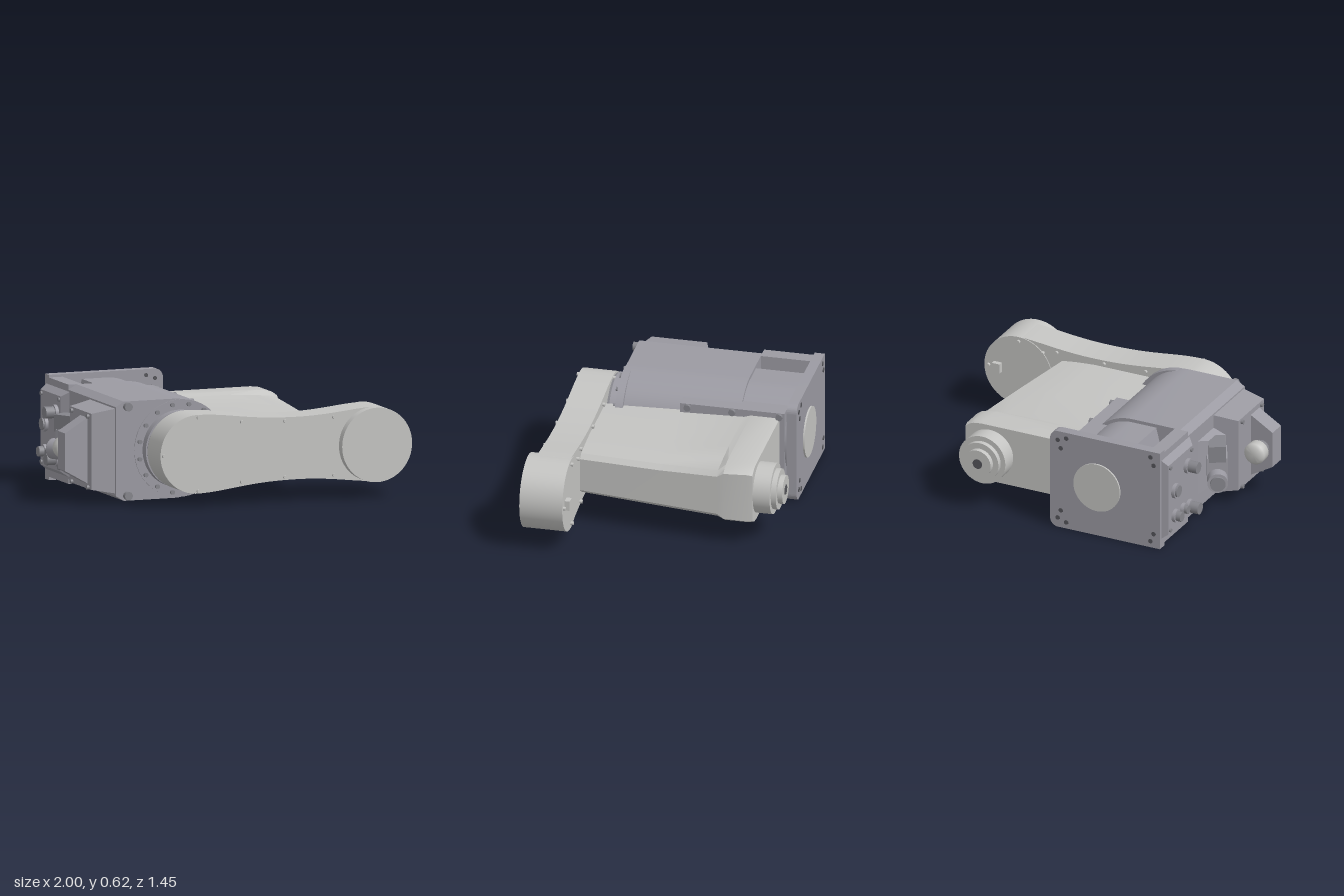
import * as THREE from 'three';
import { toCreasedNormals } from 'three/addons/utils/BufferGeometryUtils.js';
import { ConvexGeometry } from 'three/addons/geometries/ConvexGeometry.js';

const mat = (name, color) => Object.assign(new THREE.MeshStandardMaterial({ color }), { name });

export function createModel() {
  const housingGrey = mat('housing grey', 0x9b9aa2);
  const lightGrey = mat('light grey', 0xc4c4c2);
  const fittingGrey = mat('fitting grey', 0x85858b);
  const holeGrey = mat('hole dark grey', 0x55555a);
  const model = new THREE.Group();
  model.name = 'robotArm';
  const CY = 0.31; // height of every main axis

  const add = (name, geo, material) => {
    const m = new THREE.Mesh(geo, material);
    m.name = name;
    model.add(m);
    return m;
  };
  const box = (name, material, x0, x1, y0, y1, z0, z1) =>
    add(name, new THREE.BoxGeometry(x1 - x0, y1 - y0, z1 - z0)
      .translate((x0 + x1) / 2, (y0 + y1) / 2, (z0 + z1) / 2), material);
  const cylZ = (name, material, x, y, r, z0, z1, seg = 48) =>
    add(name, new THREE.CylinderGeometry(r, r, z1 - z0, seg)
      .rotateX(Math.PI / 2).translate(x, y, (z0 + z1) / 2), material);
  const cylX = (name, material, y, z, r, x0, x1, seg = 16) =>
    add(name, new THREE.CylinderGeometry(r, r, x1 - x0, seg)
      .rotateZ(Math.PI / 2).translate((x0 + x1) / 2, y, z), material);
  const extrude = (name, material, shape, z0, z1) =>
    add(name, toCreasedNormals(new THREE.ExtrudeGeometry(shape,
      { depth: z1 - z0, bevelEnabled: false, curveSegments: 28 }).translate(0, 0, z0), 0.5), material);
  // Block tapering along x; each end is [x, y0, y1, z0, z1]
  const taper = (name, material, ...ends) => {
    const pts = [];
    for (const [x, y0, y1, z0, z1] of ends)
      for (const y of [y0, y1]) for (const z of [z0, z1]) pts.push(new THREE.Vector3(x, y, z));
    return add(name, new ConvexGeometry(pts), material);
  };

  // Housing: D-shaped body, with a pocket above and below at the rear
  const body = new THREE.Shape();
  body.moveTo(-0.72, 0.05).lineTo(-0.67, 0.02).lineTo(-0.36, 0.02);
  body.absarc(-0.36, CY, 0.29, -Math.PI / 2, Math.PI / 2);
  body.lineTo(-0.67, 0.6).lineTo(-0.72, 0.57).closePath();
  extrude('housingBody', housingGrey, body, -0.33, 0.4);

  const rear = new THREE.Shape();
  rear.moveTo(-0.72, 0.02).lineTo(-0.635, 0.02).lineTo(-0.635, 0.18).lineTo(-0.55, 0.18);
  rear.lineTo(-0.515, 0.04).lineTo(-0.36, 0.04);
  rear.absarc(-0.36, CY, 0.27, -Math.PI / 2, Math.PI / 2);
  rear.lineTo(-0.515, 0.58).lineTo(-0.55, 0.44).lineTo(-0.635, 0.44);
  rear.lineTo(-0.635, 0.6).lineTo(-0.72, 0.6).closePath();
  extrude('housingRear', housingGrey, rear, -0.63, -0.33);

  // Rear flange with rounded corners on the arm side
  const flange = new THREE.Shape();
  flange.moveTo(-0.72, 0).lineTo(-0.06, 0);
  flange.absarc(-0.06, 0.05, 0.05, -Math.PI / 2, 0);
  flange.absarc(-0.06, 0.565, 0.05, 0, Math.PI / 2);
  flange.lineTo(-0.72, 0.615).closePath();
  extrude('rearFlange', housingGrey, flange, -0.69, -0.63);
  cylZ('rearCoverDisc', lightGrey, -0.315, CY, 0.15, -0.7, -0.69);
  for (const s of [-1, 1]) {
    for (const [x, dy] of [[-0.115, 0.27], [-0.06, 0.25], [-0.08, 0.2], [-0.66, 0.27], [-0.68, 0.22]]) {
      cylZ('flangeHoleRear', holeGrey, x, CY + s * dy, 0.014, -0.694, -0.69, 12);
      if (x > -0.2) cylZ('flangeHoleFront', holeGrey, x, CY + s * dy, 0.012, -0.63, -0.626, 12);
    }
  }

  // Front joint: collar, bolt ring and turning neck
  cylZ('jointCollar', housingGrey, -0.32, CY, 0.285, 0.36, 0.405, 64);
  cylZ('jointNeck', housingGrey, -0.33, CY, 0.225, 0.4, 0.455, 64);
  cylZ('jointSpacer', fittingGrey, -0.33, CY, 0.215, 0.455, 0.475, 64);
  for (let i = 0; i < 16; i++) {
    const a = (i + 0.5) / 16 * Math.PI * 2;
    cylZ('collarBolt', fittingGrey, -0.32 + 0.26 * Math.cos(a), CY + 0.26 * Math.sin(a), 0.013, 0.4, 0.42, 10);
  }
  for (const y of [0.05, 0.57]) cylZ('housingFoot', fittingGrey, -0.65, y, 0.025, 0.39, 0.43, 12);

  // Side gearbox covers
  taper('sideCover', housingGrey, [-0.72, 0.065, 0.56, 0, 0.39], [-0.86, 0.09, 0.535, 0.04, 0.37]);
  taper('sideCap', housingGrey, [-0.86, 0.12, 0.505, 0.2, 0.31], [-1, 0.2, 0.42, 0.2, 0.31]);
  for (const y of [0.1, 0.515]) for (const z of [0.08, 0.33])
    cylX('coverBolt', fittingGrey, y, z, 0.013, -0.875, -0.85, 10);
  cylZ('cableNeck', fittingGrey, -0.93, CY, 0.05, 0.17, 0.2, 24);
  const knob = [[0, 0], [0.05, 0], [0.065, 0.015], [0.065, 0.07], [0.055, 0.08], [0, 0.08]];
  add('cablePlug', toCreasedNormals(new THREE.LatheGeometry(
    knob.map(p => new THREE.Vector2(...p)), 28).rotateX(Math.PI / 2).translate(-0.93, CY, 0.09), 0.9), lightGrey);

  // Tilted connector on the left side
  const connector = new THREE.Group();
  connector.name = 'tiltedConnector';
  const part = (name, geo, m) => {
    const mesh = new THREE.Mesh(geo, m);
    mesh.name = name;
    connector.add(mesh);
  };
  part('connectorBlock', new THREE.BoxGeometry(0.12, 0.13, 0.26), housingGrey);
  part('connectorBarrel', new THREE.CylinderGeometry(0.06, 0.06, 0.1, 28).rotateX(Math.PI / 2).translate(0, -0.06, -0.15), housingGrey);
  part('connectorRim', new THREE.CylinderGeometry(0.045, 0.045, 0.03, 28).rotateX(Math.PI / 2).translate(0, -0.06, -0.2), fittingGrey);
  part('connectorLatch', new THREE.BoxGeometry(0.1, 0.1, 0.16).translate(0, 0.1, -0.07), fittingGrey);
  connector.position.set(-0.765, 0.31, -0.05);
  connector.rotation.y = 0.5;
  model.add(connector);
  taper('connectorSeat', housingGrey, [-0.72, 0.14, 0.48, -0.2, 0.02], [-0.79, 0.18, 0.44, -0.06, 0.02]);

  // Connection panel with its plugs
  taper('connectionPanel', housingGrey, [-0.72, 0.06, 0.56, -0.67, -0.31], [-0.76, 0.09, 0.53, -0.66, -0.35]);
  for (const [y, z, r, x] of [[0.34, -0.58, 0.035, -0.79], [0.43, -0.42, 0.035, -0.835], [0.18, -0.58, 0.03, -0.81],
    [0.18, -0.48, 0.025, -0.8], [0.16, -0.4, 0.035, -0.835]]) {
    cylX('panelPlug', fittingGrey, y, z, r, x, -0.75);
    cylX('panelPlugRing', housingGrey, y, z, r + 0.01, -0.78, -0.75);
  }
  for (const y of [0.11, 0.51]) for (const z of [-0.64, -0.37])
    cylX('panelScrew', fittingGrey, y, z, 0.012, -0.77, -0.75, 10);

  // Bracket joining housing and arm
  box('armBracket', housingGrey, -0.2, -0.085, 0.095, 0.525, -0.6, 0.02);
  for (const s of [-1, 1]) for (const z of [-0.57, -0.29, -0.025])
    cylX('bracketBolt', fittingGrey, CY + s * 0.195, z, 0.02, -0.09, -0.065, 14);

  // Arm lofted along z; each station is [z, half height, ridge x, right x, right half height]
  const stations = [[0.475, 0.145, 0.29, 0.525, 0.1], [0, 0.158, 0.29, 0.575, 0.108], [-0.36, 0.17, 0.29, 0.603, 0.12],
    [-0.4, 0.183, 0.48, 0.607, 0.145], [-0.54, 0.183, 0.5, 0.602, 0.15], [-0.57, 0.178, 0.5, 0.598, 0.145]];
  const rings = stations.map(([z, h, xm, xr, e]) => {
    const up = [[xr, e], [xr - 0.03, e + (h - e) * 0.55], [xm + (xr - xm) * 0.5, h - (h - e) * 0.2], [xm, h], [-0.12, h]];
    return [...up, ...up.map(([x, y]) => [x, -y]).reverse()].map(([x, y]) => [x, CY + y, z]);
  });
  const pos = [], n = rings[0].length, last = rings.length - 1;
  const tri = (...p) => p.forEach(v => pos.push(...v));
  for (let i = 0; i < last; i++) for (let j = 0; j < n; j++) {
    const k = (j + 1) % n, [a, b, c, d] = [rings[i][j], rings[i][k], rings[i + 1][k], rings[i + 1][j]];
    tri(a, d, c);
    tri(a, c, b);
  }
  for (let j = 1; j < n - 1; j++) {
    tri(rings[0][0], rings[0][j], rings[0][j + 1]);
    tri(rings[last][0], rings[last][j + 1], rings[last][j]);
  }
  const armGeo = new THREE.BufferGeometry();
  armGeo.setAttribute('position', new THREE.Float32BufferAttribute(pos, 3));
  add('arm', toCreasedNormals(armGeo, 0.45), lightGrey);

  // Stepped drive at the rear end of the arm
  cylZ('driveBase', lightGrey, 0.44, CY, 0.15, -0.67, -0.56);
  cylZ('driveStep', lightGrey, 0.44, CY, 0.12, -0.7, -0.67);
  cylZ('driveHub', lightGrey, 0.44, CY, 0.085, -0.73, -0.7);
  cylZ('driveBore', holeGrey, 0.44, CY, 0.03, -0.733, -0.73, 24);

  // Front link: two lobes with a narrow waist
  const link = new THREE.Shape();
  link.moveTo(-0.32, CY - 0.23);
  link.bezierCurveTo(-0.12, 0.085, -0.02, 0.13, 0.3, 0.13);
  link.bezierCurveTo(0.52, 0.13, 0.66, 0.095, 0.78, CY - 0.217);
  link.absarc(0.78, CY, 0.217, -Math.PI / 2, Math.PI / 2);
  link.bezierCurveTo(0.66, 0.527, 0.52, 0.495, 0.3, 0.495);
  link.bezierCurveTo(-0.02, 0.495, -0.12, 0.54, -0.32, CY + 0.23);
  link.absarc(-0.32, CY, 0.23, Math.PI / 2, Math.PI * 1.5);
  extrude('frontLink', lightGrey, link, 0.47, 0.67);
  cylZ('linkDrum', lightGrey, 0.78, CY, 0.218, 0.465, 0.72, 64);

  // Link screws and small fittings
  for (const [x, d] of [[-0.315, 0.215], [-0.045, 0.175], [0.225, 0.165], [0.53, 0.17]]) for (const s of [-1, 1]) {
    cylZ('linkScrewFront', lightGrey, x, CY + s * d, 0.011, 0.66, 0.685, 10);
    cylZ('linkScrewRear', lightGrey, x, CY + s * d, 0.011, 0.455, 0.48, 10);
  }
  cylZ('linkScrewEnd', lightGrey, -0.53, CY, 0.011, 0.66, 0.685, 10);
  for (const [x, y] of [[0.775, 0.5], [0.775, 0.12], [0.97, CY], [0.62, 0.46]])
    cylZ('drumScrew', lightGrey, x, y, 0.011, 0.45, 0.47, 10);
  box('linkSocket', lightGrey, 0.885, 0.935, 0.28, 0.34, 0.435, 0.47);
  const nozzle = add('linkNozzle', new THREE.CylinderGeometry(0.028, 0.028, 0.08, 16), lightGrey);
  nozzle.position.set(0.595, 0.15, 0.6);
  nozzle.rotation.z = 0.6;

  return model;
}
